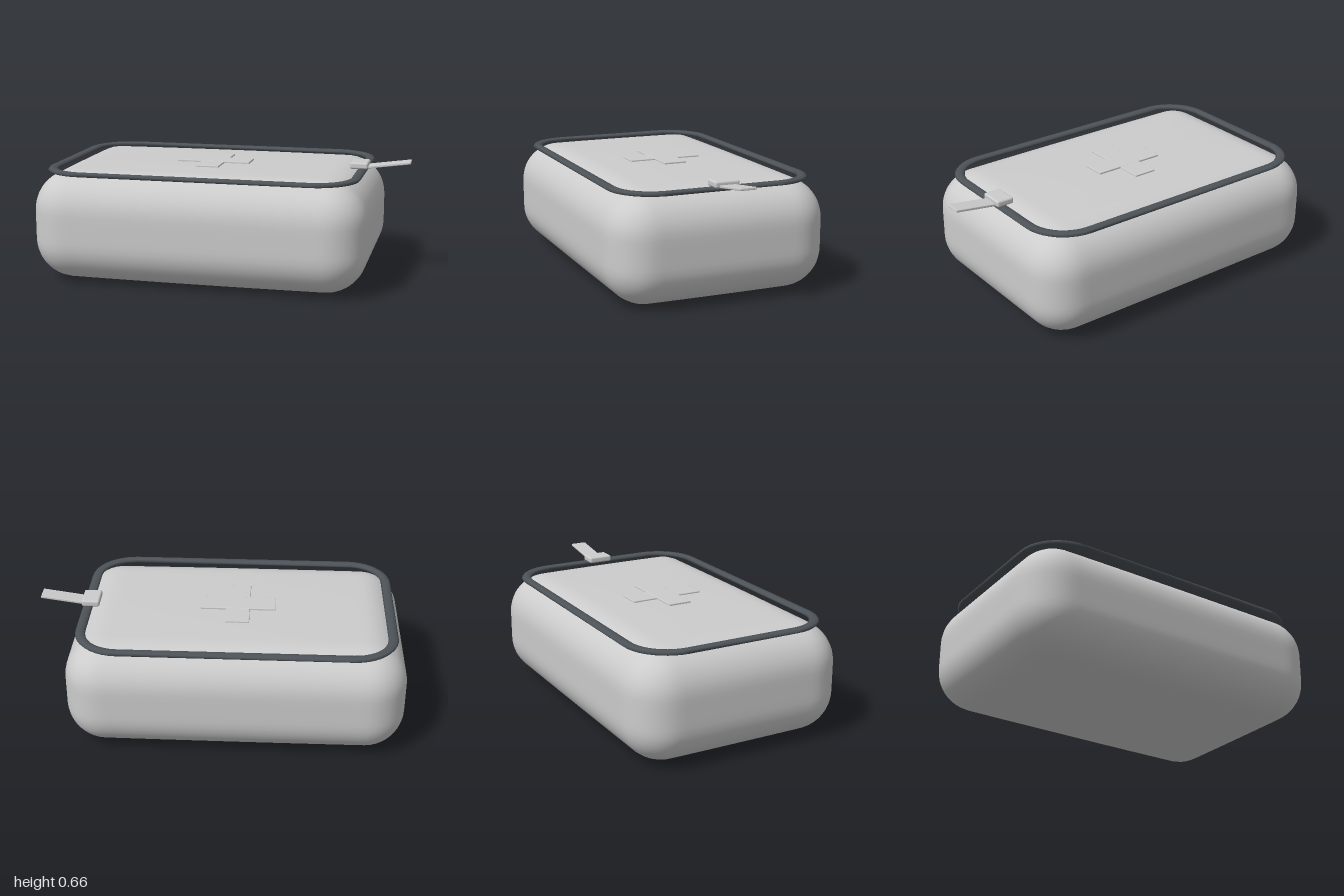
import * as THREE from 'three';
import { mergeVertices } from 'three/addons/utils/BufferGeometryUtils.js';
import { RoundedBoxGeometry } from 'three/addons/geometries/RoundedBoxGeometry.js';

const CENTER_X = -0.09;

// Soft pillow-like case: a box grid with rounded edges and domed top and bottom
function caseGeometry(hx, hy, hz, r, dome) {
  const box = new THREE.BoxGeometry(hx * 2, hy * 2, hz * 2, 44, 16, 30);
  box.deleteAttribute('uv');
  box.deleteAttribute('normal');
  const geo = mergeVertices(box, 1e-4);
  const pos = geo.attributes.position;
  const p = new THREE.Vector3(), inner = new THREE.Vector3();
  const lim = new THREE.Vector3(hx - r, hy - r, hz - r);
  const low = lim.clone().negate();
  for (let i = 0; i < pos.count; i++) {
    p.fromBufferAttribute(pos, i);
    inner.copy(p).clamp(low, lim);
    p.sub(inner).setLength(r).add(inner);
    const bulge = (1 - (p.x / hx) ** 2) * (1 - (p.z / hz) ** 2);
    p.y += (p.y / hy) * dome * bulge;
    pos.setXYZ(i, p.x, p.y, p.z);
  }
  geo.computeVertexNormals();
  return geo;
}

// Closed rounded-rectangle loop with a flattened oval section
function loopGeometry(hx, hz, r, w, h) {
  const positions = [], index = [], steps = 10, sides = 8;
  const total = 4 * (steps + 1);
  for (let c = 0; c < 4; c++) {
    const cx = (c === 0 || c === 3 ? 1 : -1) * (hx - r);
    const cz = (c < 2 ? 1 : -1) * (hz - r);
    for (let i = 0; i <= steps; i++) {
      const a = (c + i / steps) * Math.PI / 2;
      for (let s = 0; s < sides; s++) {
        const t = s / sides * Math.PI * 2;
        const d = r + w * Math.cos(t);
        positions.push(cx + d * Math.cos(a), h * Math.sin(t), cz + d * Math.sin(a));
      }
    }
  }
  for (let i = 0; i < total; i++) {
    for (let s = 0; s < sides; s++) {
      const j = (i + 1) % total, q = (s + 1) % sides;
      const a = i * sides + s, b = i * sides + q, c = j * sides + q, d = j * sides + s;
      index.push(a, b, c, a, c, d);
    }
  }
  const geo = new THREE.BufferGeometry();
  geo.setAttribute('position', new THREE.Float32BufferAttribute(positions, 3));
  geo.setIndex(index);
  geo.computeVertexNormals();
  return geo;
}

export function createModel() {
  const group = new THREE.Group();
  const fabric = new THREE.MeshStandardMaterial({ color: 0xcccccc });
  fabric.name = 'light grey';
  const dark = new THREE.MeshStandardMaterial({ color: 0x4d5358 });
  dark.name = 'dark slate';

  const add = (name, geo, mat, x, y, z, parent = group) => {
    const m = new THREE.Mesh(geo, mat);
    m.name = name;
    m.position.set(x, y, z);
    parent.add(m);
    return m;
  };

  // Case body
  add('caseBody', caseGeometry(0.91, 0.295, 0.605, 0.215, 0.011), fabric, CENTER_X, 0.306, 0);

  // Zip track round the lid
  add('zipTrack', loopGeometry(0.83, 0.53, 0.215, 0.027, 0.0135), dark, CENTER_X, 0.601, 0);

  // Raised cross on the lid
  const cross = new THREE.Group();
  cross.name = 'lidCross';
  group.add(cross);
  add('crossBarWide', new RoundedBoxGeometry(0.41, 0.021, 0.13, 2, 0.004), fabric, CENTER_X, 0.611, 0, cross);
  add('crossBarLong', new RoundedBoxGeometry(0.13, 0.02, 0.41, 2, 0.004), fabric, CENTER_X, 0.61, 0, cross);

  // Zip slider and its tilted pull tab
  add('zipSlider', new RoundedBoxGeometry(0.098, 0.036, 0.138, 3, 0.011), fabric, 0.723, 0.626, 0);
  const tab = add('pullTab', new RoundedBoxGeometry(0.245, 0.014, 0.09, 2, 0.004), fabric, 0.878, 0.632, 0);
  tab.rotation.z = 0.14;

  return group;
}
